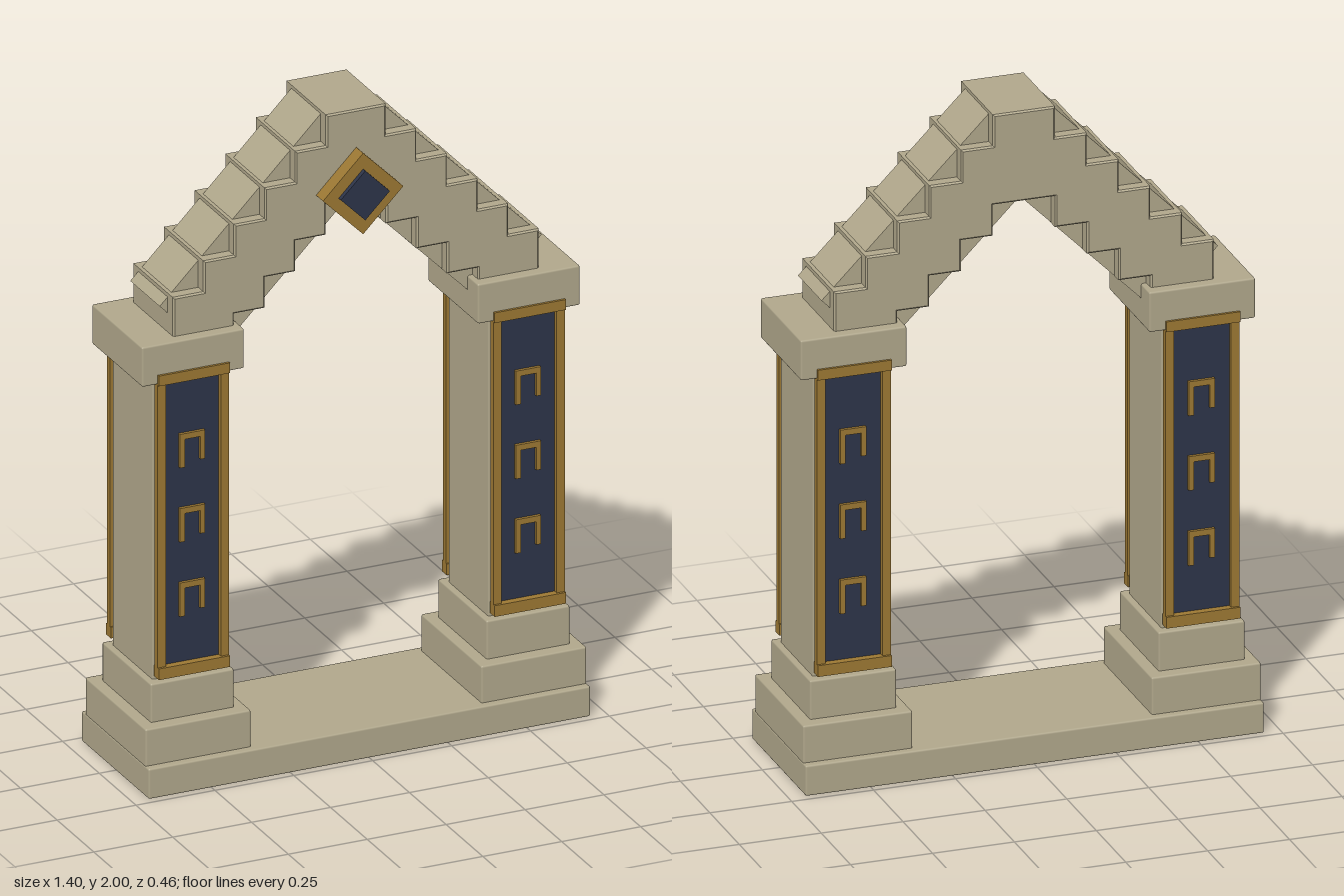
import * as THREE from 'three';
import { RoundedBoxGeometry } from 'three/addons/geometries/RoundedBoxGeometry.js';

const stone = new THREE.MeshStandardMaterial({ name: 'stone', color: 0xb0a78b });
const gold = new THREE.MeshStandardMaterial({ name: 'gold', color: 0x9c7833 });
const navy = new THREE.MeshStandardMaterial({ name: 'navy', color: 0x2d3449 });

// Box given by its limits, with slightly softened edges when bevel > 0
function block(parent, name, material, [x0, x1], [y0, y1], [z0, z1], bevel = 0) {
  const size = [x1 - x0, y1 - y0, z1 - z0];
  const geometry = bevel ? new RoundedBoxGeometry(...size, 1, bevel) : new THREE.BoxGeometry(...size);
  const mesh = new THREE.Mesh(geometry, material);
  mesh.name = name;
  mesh.position.set((x0 + x1) / 2, (y0 + y1) / 2, (z0 + z1) / 2);
  parent.add(mesh);
  return mesh;
}

// Framed panel with three hooked glyphs, on a pillar face looking along +z
function createPanel() {
  const panel = new THREE.Group();
  panel.name = 'pillarPanel';
  block(panel, 'panelField', navy, [-0.1, 0.1], [0.37, 1.28], [0.13, 0.157]);
  for (const s of [-1, 1]) {
    block(panel, 'frameSide', gold, [s * 0.1 - 0.013, s * 0.1 + 0.013], [0.345, 1.295], [0.152, 0.172]);
  }
  block(panel, 'frameBottom', gold, [-0.113, 0.113], [0.345, 0.38], [0.147, 0.18]);
  block(panel, 'frameTop', gold, [-0.113, 0.113], [1.268, 1.3], [0.147, 0.18]);
  for (const top of [1.098, 0.865, 0.631]) {
    const glyph = new THREE.Group();
    glyph.name = 'glyph';
    block(glyph, 'glyphStem', gold, [-0.04, -0.024], [top - 0.106, top], [0.155, 0.167]);
    block(glyph, 'glyphBar', gold, [-0.024, 0.04], [top - 0.018, top], [0.155, 0.167]);
    block(glyph, 'glyphHook', gold, [0.025, 0.04], [top - 0.09, top - 0.018], [0.155, 0.167]);
    panel.add(glyph);
  }
  return panel;
}

function createPillar(side) {
  const pillar = new THREE.Group();
  pillar.name = side > 0 ? 'leftPillar' : 'rightPillar';
  block(pillar, 'plinth', stone, [-0.167, 0.167], [0.09, 0.21], [-0.207, 0.207], 0.006);
  block(pillar, 'pillarFoot', stone, [-0.132, 0.132], [0.205, 0.33], [-0.167, 0.167], 0.006);
  block(pillar, 'shaft', stone, [-0.113, 0.113], [0.325, 1.275], [-0.137, 0.137], 0.005);
  block(pillar, 'capital', stone, [-0.162, 0.162], [1.27, 1.395], [-0.172, 0.172], 0.006);
  for (const turn of [0, Math.PI]) {
    const panel = createPanel();
    panel.rotation.y = turn;
    pillar.add(panel);
  }
  pillar.position.x = side * 0.532;
  return pillar;
}

function createArch() {
  const arch = new THREE.Group();
  arch.name = 'arch';

  // Stepped gable outline: the right half, then its mirror image
  const step = 0.0966;
  const half = [];
  for (let i = 0; i < 6; i++) { // outer steps, going down
    const x = 0.095 + i * 0.097, y = 2 - i * step;
    half.push([x, y], [x, i < 5 ? y - step : 1.39]);
  }
  half.push([0.386, 1.39]);
  for (let i = 3; i > 0; i--) { // inner steps, going up
    const x = 0.095 + i * 0.097, y = 1.72 - i * step;
    half.push([x, y], [x - 0.097, y]);
  }
  half.push([0.095, 1.72]);
  const mirror = half.map(([x, y]) => [-x, y]).reverse();
  const shape = new THREE.Shape([...half, ...mirror].map(([x, y]) => new THREE.Vector2(x, y)));
  const bevel = 0.005;
  const geometry = new THREE.ExtrudeGeometry(shape, {
    depth: 0.276 - 2 * bevel, bevelThickness: bevel, bevelSize: bevel, bevelOffset: -bevel, bevelSegments: 1,
  });
  geometry.translate(0, 0, -0.138 + bevel);
  const steps = new THREE.Mesh(geometry, stone);
  steps.name = 'steppedGable';
  arch.add(steps);

  // Sloping beams that fill the notches of the steps
  for (const s of [-1, 1]) {
    const beam = new THREE.Mesh(new THREE.BoxGeometry(0.727, 0.258, 0.2), stone);
    beam.name = 'slopingBeam';
    beam.position.set(s * 0.257, 1.6455, 0);
    beam.rotation.z = -s * Math.PI / 4;
    arch.add(beam);
  }

  // Diamond emblem on the front of the apex
  const diamond = new THREE.Group();
  diamond.name = 'diamondEmblem';
  block(diamond, 'diamondFrame', gold, [-0.09, 0.09], [-0.09, 0.09], [0.13, 0.185]);
  block(diamond, 'diamondStone', navy, [-0.055, 0.055], [-0.055, 0.055], [0.15, 0.2]);
  diamond.rotation.z = Math.PI / 4;
  diamond.position.y = 1.755;
  arch.add(diamond);
  return arch;
}

export function createModel() {
  const model = new THREE.Group();
  model.name = 'gateway';
  block(model, 'baseSlab', stone, [-0.7, 0.7], [0, 0.095], [-0.23, 0.23], 0.006);
  model.add(createPillar(1), createPillar(-1), createArch());
  return model;
}
